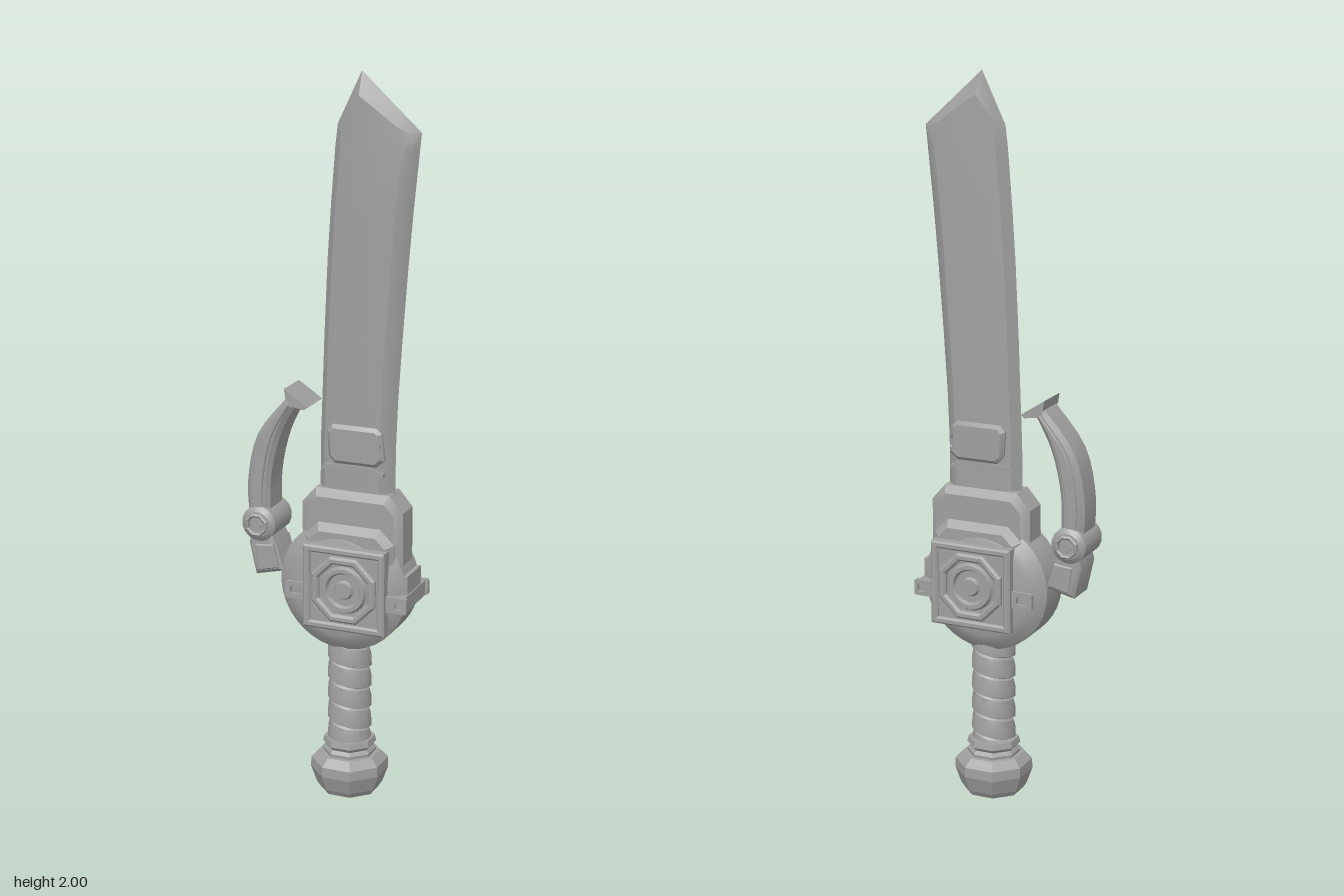
import * as THREE from 'three';
import { toCreasedNormals } from 'three/addons/utils/BufferGeometryUtils.js';

export function createModel() {
  const model = new THREE.Group();
  const steel = new THREE.MeshStandardMaterial({ color: 0xa0a0a0 });
  steel.name = 'grey steel';
  const CX = 0.05; // axis of grip and guard

  function add(name, geometry, parent = model, crease = 0.5) {
    const mesh = new THREE.Mesh(toCreasedNormals(geometry, crease), steel);
    mesh.name = name;
    parent.add(mesh);
    return mesh;
  }
  const v2 = (pts) => pts.map(([x, y]) => new THREE.Vector2(x, y));

  // Bevelled plate centred on z = 0, with an optional hole
  function plate(pts, halfDepth, bevel, hole) {
    const shape = new THREE.Shape(v2(pts));
    if (hole) shape.holes.push(new THREE.Path(v2(hole)));
    const geo = new THREE.ExtrudeGeometry(shape, {
      depth: 2 * (halfDepth - bevel), bevelEnabled: bevel > 0, bevelThickness: bevel,
      bevelSize: bevel, bevelOffset: -bevel, bevelSegments: 1, curveSegments: 12,
    });
    return geo.translate(0, 0, -(halfDepth - bevel));
  }
  const box = (x0, x1, y0, y1, z0, z1) => new THREE.BoxGeometry(x1 - x0, y1 - y0, z1 - z0)
    .translate((x0 + x1) / 2, (y0 + y1) / 2, (z0 + z1) / 2);
  const lathe = (pts, n) => new THREE.LatheGeometry(v2(pts), n, Math.PI / n);
  const ngon = (x, y, r, n) => Array.from({ length: n }, (_, i) => {
    const a = (i + 0.5) / n * Math.PI * 2;
    return [x + r * Math.cos(a), y + r * Math.sin(a)];
  });
  const cutRect = (x0, x1, y0, y1, c) => [[x0 + c, y0], [x1 - c, y0], [x1, y0 + c], [x1, y1 - c],
    [x1 - c, y1], [x0 + c, y1], [x0, y1 - c], [x0, y0 + c]];

  // Blade: rows of cross-sections, left open where the slot passes through
  const section = [[0, 0], [0.1, 0.026], [0.25, 0.035], [0.84, 0.035], [0.92, 0.024], [1, 0]];
  const rows = [[0.7, -0.038, 0.18], [0.985, -0.036, 0.181], [1.025, -0.035, 0.182],
    [1.13, -0.031, 0.186], [1.3, -0.025, 0.197], [1.5, -0.016, 0.212], [1.65, -0.006, 0.225],
    [1.8, 0.006, 0.24]].map(([y, l, r]) => section.map(([t, z]) => [l + (r - l) * t, y, z]));
  rows.push([[0.013, 1.86, 0], [0.035, 1.872, 0.026], [0.085, 1.94, 0.034],
    [0.19, 1.865, 0.032], [0.22, 1.848, 0.02], [0.245, 1.85, 0]]);
  rows.push([[0.013, 1.86, 0], [0.04, 1.916, 0], [0.08, 2, 0],
    [0.17, 1.918, 0], [0.21, 1.882, 0], [0.245, 1.85, 0]]);
  const bladePos = [];
  for (let i = 0; i < rows.length - 1; i++) {
    for (let j = 0; j < 5; j++) {
      if (i === 1 && j === 2) continue;
      const [a, b, c, d] = [rows[i][j], rows[i][j + 1], rows[i + 1][j + 1], rows[i + 1][j]];
      for (const p of [a, b, c, a, c, d]) bladePos.push(...p);
      for (const p of [a, c, b, a, d, c]) bladePos.push(p[0], p[1], -p[2]);
    }
  }
  const bladeGeo = new THREE.BufferGeometry();
  bladeGeo.setAttribute('position', new THREE.Float32BufferAttribute(bladePos, 3));
  add('blade', bladeGeo);

  // Raised frame around the blade slot, and a small lip below it
  add('slotFrame', plate([[0.02, 0.955], [0.14, 0.955], [0.162, 0.975], [0.155, 1.05], [0.14, 1.063],
    [0.012, 1.063], [-0.002, 1.045], [0.002, 0.975]], 0.046, 0.01, cutRect(0.02, 0.147, 0.983, 1.027, 0.015)));
  add('slotLip', plate([[-0.02, 0.935], [0.1, 0.945], [0.16, 0.93], [0.16, 0.94], [0.1, 0.955], [-0.01, 0.95]], 0.039, 0));

  // Guard: collar block around the blade and a chamfered drum
  const guard = new THREE.Group();
  guard.name = 'guard';
  model.add(guard);
  add('collarBlock', plate([[-0.075, 0.6], [0.217, 0.6], [0.217, 0.835], [0.178, 0.88],
    [-0.036, 0.88], [-0.075, 0.835]], 0.055, 0.02), guard);
  add('collarStep', plate([[-0.06, 0.6], [0.2, 0.6], [0.2, 0.75], [0.16, 0.79],
    [-0.02, 0.79], [-0.06, 0.75]], 0.077, 0.02), guard);
  const drum = lathe([[0, -0.08], [0.135, -0.08], [0.155, -0.072], [0.183, -0.05],
    [0.183, 0.05], [0.155, 0.072], [0.135, 0.08], [0, 0.08]], 40);
  add('drum', drum.rotateX(Math.PI / 2).translate(CX, 0.613, 0), guard);

  // Square medallion on both faces
  const MX = 0.072, MY = 0.62;
  for (const side of [1, -1]) {
    const medallion = new THREE.Group();
    medallion.name = side > 0 ? 'frontMedallion' : 'backMedallion';
    medallion.position.set(MX, MY, side * 0.085);
    if (side < 0) medallion.rotation.y = Math.PI;
    guard.add(medallion);
    const sq = (h) => [[-h, -h], [h, -h], [h, h], [-h, h]];
    add('medallionBase', plate(sq(0.115), 0.012, 0), medallion);
    add('medallionFrame', plate(sq(0.118), 0.021, 0.005, sq(0.098)), medallion);
    add('octagonRing', plate(ngon(0, 0, 0.1, 8), 0.025, 0.006, ngon(0, 0, 0.077, 8)), medallion);
    add('roundRing', new THREE.TorusGeometry(0.056, 0.011, 6, 28).translate(0, 0, 0.013), medallion, 1);
    add('centreBoss', new THREE.CylinderGeometry(0.022, 0.028, 0.01, 20)
      .rotateX(Math.PI / 2).translate(0, 0, 0.016), medallion);
    // Side clasps
    add('rightClasp', plate(cutRect(-0.105, -0.04, 0.573, 0.62, 0.005), 0.006, 0,
      cutRect(-0.09, -0.06, 0.585, 0.608, 0.003)).translate(0, 0, side * 0.084), guard);
    add('leftClasp', plate(cutRect(0.185, 0.248, 0.57, 0.615, 0.004), 0.007, 0,
      cutRect(0.215, 0.238, 0.581, 0.604, 0.003)).translate(0, 0, side * 0.083), guard);
  }
  add('claspBand', box(0.19, 0.24, 0.57, 0.613, -0.08, 0.08), guard);
  add('claspBlock', box(0.19, 0.237, 0.61, 0.665, -0.05, 0.05), guard);

  // Curved side arm with a hooked end, hinge and foot
  const arm = new THREE.Group();
  arm.name = 'sideArm';
  model.add(arm);
  const curve = (pts, n) => new THREE.SplineCurve(v2(pts)).getPoints(n).map((p) => [p.x, p.y]);
  const outer = curve([[-0.228, 0.75], [-0.236, 0.87], [-0.205, 1.01], [-0.115, 1.125]], 12);
  const inner = curve([[-0.095, 1.1], [-0.14, 1.01], [-0.167, 0.89], [-0.168, 0.75]], 12);
  add('armCurve', plate([...outer, ...inner], 0.05, 0.012), arm);
  const ribOuter = curve([[-0.213, 0.77], [-0.219, 0.87], [-0.188, 1.005], [-0.11, 1.11]], 12);
  const ribInner = curve([[-0.105, 1.105], [-0.158, 1.01], [-0.185, 0.885], [-0.187, 0.77]], 12);
  add('armRib', plate([...ribOuter, ...ribInner], 0.057, 0.003), arm);
  add('armHook', plate([[-0.122, 1.148], [-0.053, 1.103], [-0.064, 1.095], [-0.098, 1.1], [-0.118, 1.12]], 0.05, 0), arm);
  add('armFoot', plate([[-0.222, 0.73], [-0.165, 0.73], [-0.152, 0.705], [-0.128, 0.63],
    [-0.21, 0.61], [-0.23, 0.7]], 0.054, 0.01), arm);
  add('armFootPlate', plate([[-0.208, 0.7], [-0.155, 0.705], [-0.138, 0.64], [-0.2, 0.625]], 0.059, 0.003), arm);
  const hinge = lathe([[0, -0.066], [0.036, -0.066], [0.05, -0.056], [0.05, 0.056], [0.036, 0.066], [0, 0.066]], 16);
  add('hinge', hinge.rotateX(Math.PI / 2).translate(-0.197, 0.76, 0), arm);
  add('hingeBolt', plate(ngon(-0.197, 0.76, 0.034, 8), 0.077, 0.004, ngon(-0.197, 0.76, 0.024, 8)), arm);
  const stud = new THREE.CylinderGeometry(0.017, 0.017, 0.148, 4).rotateX(Math.PI / 2);
  add('hingeStud', stud.translate(-0.197, 0.76, 0), arm);

  // Grip with a helical wrap
  const profile = [[0, 0.05], [0.08, 0.061], [0.55, 0.06], [0.9, 0.055], [0.98, 0.05]];
  const pitch = 0.06, segs = 24, turns = 7, gripPos = [], gripIdx = [];
  const n = turns * profile.length;
  for (let i = 0; i < n; i++) {
    const [f, r] = profile[i % profile.length];
    const level = Math.floor(i / profile.length) + f;
    for (let j = 0; j <= segs; j++) {
      const u = j / segs, a = (u - 0.5) * Math.PI * 2;
      const y = THREE.MathUtils.clamp(0.11 + pitch * (level - u), 0.12, 0.46);
      gripPos.push(CX + r * Math.sin(a), y, r * Math.cos(a));
      if (i < n - 1 && j < segs) {
        const p = i * (segs + 1) + j, q = p + segs + 1;
        gripIdx.push(p, p + 1, q + 1, p, q + 1, q);
      }
    }
  }
  const gripGeo = new THREE.BufferGeometry();
  gripGeo.setAttribute('position', new THREE.Float32BufferAttribute(gripPos, 3));
  gripGeo.setIndex(gripIdx);
  add('gripWrap', gripGeo);
  add('gripCore', new THREE.CylinderGeometry(0.05, 0.05, 0.34, 24).translate(CX, 0.29, 0));

  // Grip collar and faceted pommel
  add('gripCollar', lathe([[0, 0.1], [0.072, 0.1], [0.074, 0.118], [0.066, 0.128], [0.074, 0.138],
    [0.07, 0.155], [0, 0.158]], 8).translate(CX, 0, 0), model, 0.1);
  add('pommel', lathe([[0, 0], [0.082, 0], [0.092, 0.015], [0.108, 0.06], [0.107, 0.088],
    [0.086, 0.11], [0, 0.112]], 8).translate(CX, 0, 0), model, 0.1);

  return model;
}
